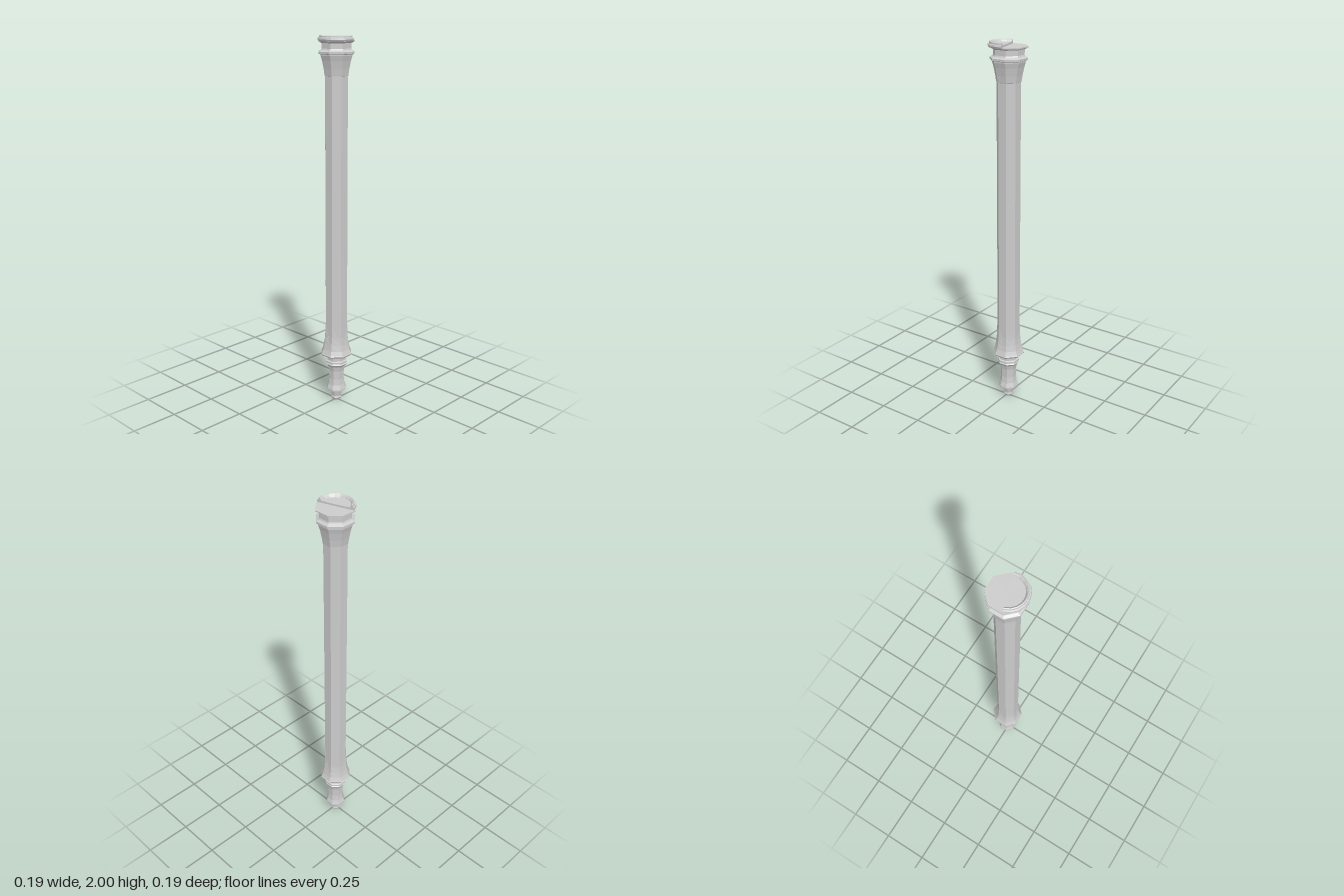
import * as THREE from 'three';

const material = new THREE.MeshStandardMaterial({ color: 0xcccccc, flatShading: true, side: THREE.DoubleSide });
const toPoints = (profile) => profile.map(([r, y]) => new THREE.Vector2(r, y));
const CORNER = 1 / Math.cos(Math.PI / 8);

function addMesh(group, name, geometry) {
  const mesh = new THREE.Mesh(geometry, material);
  mesh.name = name;
  group.add(mesh);
  return mesh;
}

// Octagonal turning; the profile lists [half width across flats, height] from bottom to top.
function octagon(profile) {
  return new THREE.LatheGeometry(toPoints(profile.map(([w, y]) => [w * CORNER, y])), 8, Math.PI / 8);
}

// Octagonal collar whose free edge rises to a point on every corner.
function pointedCollar(profile, dips) {
  const geometry = new THREE.LatheGeometry(toPoints(profile.map(([w, y]) => [w * CORNER, y])), 16, Math.PI / 8);
  const p = geometry.attributes.position;
  const rows = profile.length;
  for (let i = 0; i < p.count; i++) {
    const column = Math.floor(i / rows);
    if (column % 2 === 0) continue;
    p.setXYZ(i, p.getX(i) / CORNER, p.getY(i) + dips[i % rows], p.getZ(i) / CORNER);
  }
  return geometry;
}

export function createModel() {
  const model = new THREE.Group();
  const column = new THREE.Group();
  column.name = 'column';
  column.position.set(-0.005, 0, -0.005);
  model.add(column);

  addMesh(column, 'tip', octagon([[0, 0], [0.022, 0], [0.028, 0.012], [0.025, 0.022], [0.031, 0.055], [0.031, 0.07]]));

  addMesh(column, 'lowerFinial', octagon([
    [0.028, 0.063], [0.052, 0.063], [0.052, 0.07], [0.044, 0.095], [0.04, 0.13],
    [0.041, 0.18], [0.046, 0.205], [0.055, 0.218], [0.048, 0.224],
    [0.057, 0.228], [0.057, 0.238], [0.049, 0.242], [0.049, 0.275],
  ]));

  addMesh(column, 'shaft', octagon([[0.049, 0.27], [0.058, 0.3], [0.058, 1.81]]));

  // Flared collar at the foot of the shaft
  addMesh(column, 'footCollar', pointedCollar(
    [[0.049, 0.272], [0.075, 0.272], [0.082, 0.281], [0.078, 0.29], [0.071, 0.31], [0.065, 0.345], [0.061, 0.39], [0.0595, 0.45]],
    [0, 0, 0, 0, 0, -0.005, -0.02, -0.06],
  ));

  // Flared capital with its moulding and neck
  addMesh(column, 'capital', octagon([
    [0.057, 1.798], [0.06, 1.8], [0.065, 1.835], [0.073, 1.875], [0.08, 1.9],
    [0.08, 1.906], [0.09, 1.91], [0.09, 1.92], [0.077, 1.928], [0.074, 1.935],
    [0.074, 1.962], [0.091, 1.97], [0.091, 1.976], [0, 1.976],
  ]));

  // Half-round raised rim on the front of the top
  const rim = [[0.084, 1.968], [0.094, 1.972], [0.098, 1.98], [0.096, 1.988], [0.09, 1.99],
    [0.089, 1.998], [0.084, 2], [0.078, 1.994], [0.073, 1.986], [0, 1.985]];
  const halfRim = addMesh(model, 'topHalfRim',
    new THREE.LatheGeometry(toPoints(rim), 9, THREE.MathUtils.degToRad(-73), Math.PI));
  halfRim.position.set(0.001, 0, 0);

  // Upright face closing the cut side of the rim
  const section = new THREE.Shape(toPoints([
    ...rim, ...rim.slice(0, -1).reverse().map(([r, y]) => [-r, y]),
  ]));
  const cutFace = addMesh(model, 'rimCutFace', new THREE.ShapeGeometry(section));
  cutFace.rotation.y = THREE.MathUtils.degToRad(17);
  cutFace.position.copy(halfRim.position);

  return model;
}
